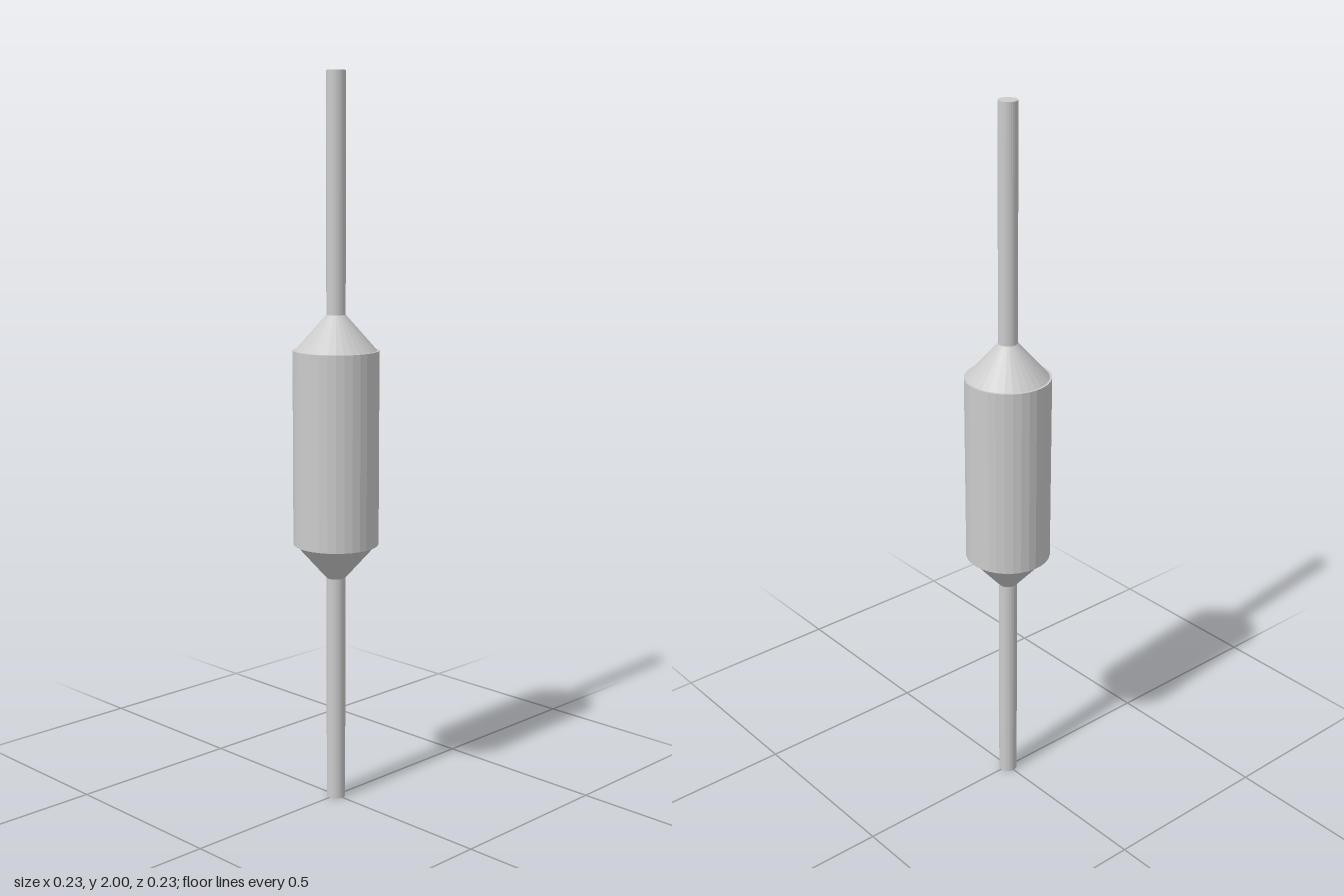
import * as THREE from 'three';

const SEGMENTS = 32;
const CENTRE_Y = 1;

export function createModel() {
  const model = new THREE.Group();
  model.name = 'axialComponent';
  const material = new THREE.MeshStandardMaterial({ color: 0xcccccc, flatShading: true });

  // Round section between two heights; radii are given top first
  function section(name, topRadius, bottomRadius, bottomY, topY) {
    const geometry = new THREE.CylinderGeometry(topRadius, bottomRadius, topY - bottomY, SEGMENTS);
    const mesh = new THREE.Mesh(geometry, material);
    mesh.name = name;
    mesh.position.y = (bottomY + topY) / 2;
    return mesh;
  }

  // Cylindrical body
  const bodyHalf = 0.267;
  model.add(section('body', 0.117, 0.117, CENTRE_Y - bodyHalf, CENTRE_Y + bodyHalf));

  // Tapered shoulder and wire lead, mirrored to both ends
  for (const [side, angle] of [['upper', 0], ['lower', Math.PI]]) {
    const end = new THREE.Group();
    end.name = side + 'End';
    end.add(section(side + 'Shoulder', 0.026, 0.111, bodyHalf, 0.363));
    end.add(section(side + 'Lead', 0.026, 0.026, 0.363, 1));
    end.position.y = CENTRE_Y;
    end.rotation.x = angle;
    model.add(end);
  }

  return model;
}
